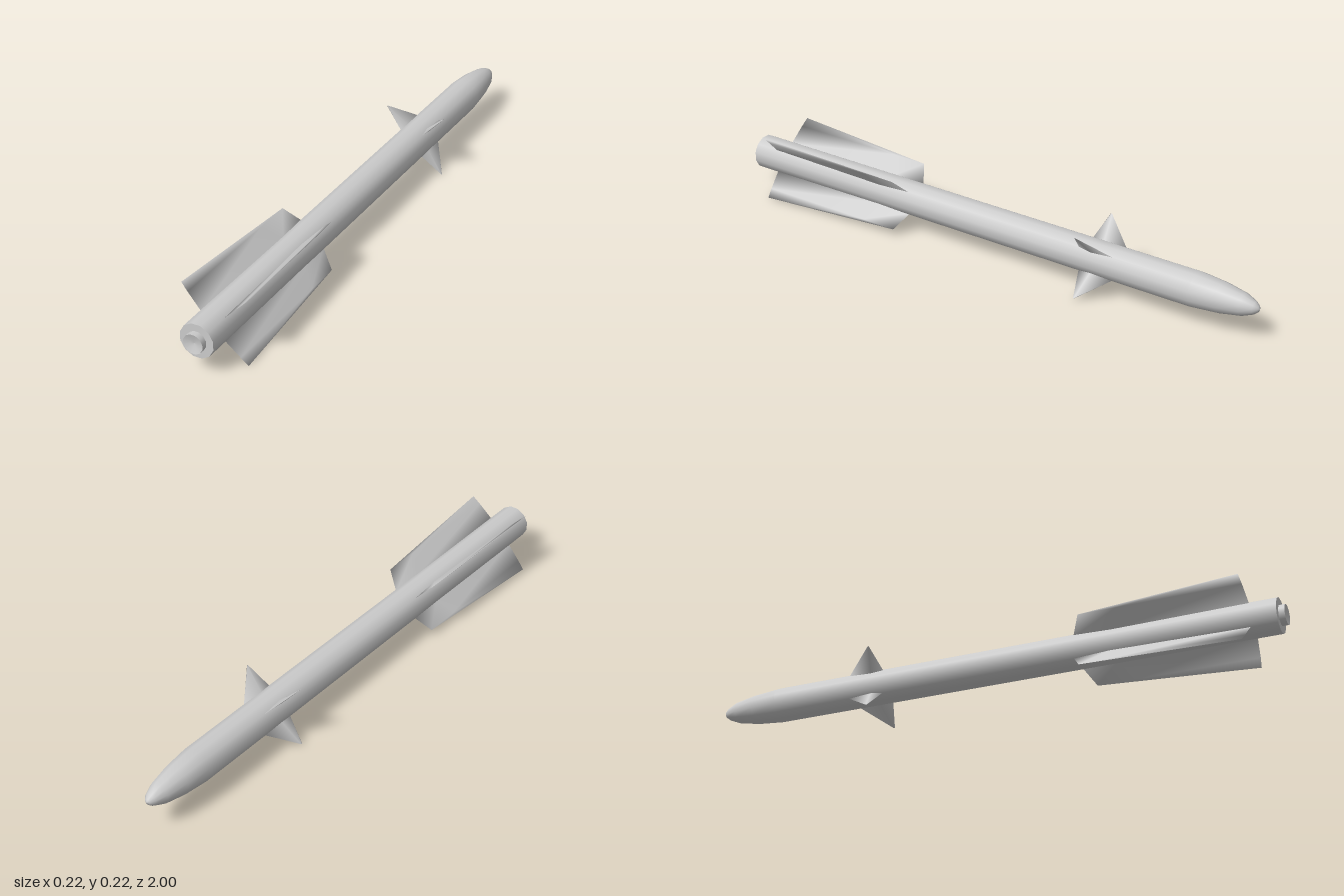
import * as THREE from 'three';
import { mergeVertices } from 'three/addons/utils/BufferGeometryUtils.js';

const material = new THREE.MeshStandardMaterial({ color: 0xcccccc });
const AXIS_Y = 0.114;

// Lathe along the body axis; profile is [radius, z] from tail (+z) to nose (-z)
function lathe(name, profile, sides = 12) {
  const points = profile.map(([r, z]) => new THREE.Vector2(r, -z));
  const geometry = new THREE.LatheGeometry(points, sides, Math.PI / sides);
  geometry.rotateX(-Math.PI / 2);
  const mesh = new THREE.Mesh(geometry, material);
  mesh.name = name;
  return mesh;
}

// Smooth fin blade: sections are [radius, zFront, zThick, zBack, halfThickness], root to tip
function finGeometry(sections) {
  const rings = sections.map(([r, front, mid, back, t]) => [
    [r, 0, front], [r, t, mid], [r, 0, back], [r, -t, mid],
  ]);
  const pos = [];
  for (let i = 0; i < rings.length - 1; i++) {
    for (let k = 0; k < 4; k++) {
      const n = (k + 1) % 4;
      const [a, b, c, d] = [rings[i][k], rings[i][n], rings[i + 1][n], rings[i + 1][k]];
      pos.push(...a, ...b, ...c, ...a, ...c, ...d);
    }
  }
  // Close the tip
  const [a, b, c, d] = rings[rings.length - 1];
  pos.push(...a, ...b, ...c, ...a, ...c, ...d);
  const soup = new THREE.BufferGeometry();
  soup.setAttribute('position', new THREE.Float32BufferAttribute(pos, 3));
  const geometry = mergeVertices(soup);
  geometry.computeVertexNormals();
  return geometry;
}

// Four copies of a blade on the diagonals
function finSet(name, geometry) {
  const set = new THREE.Group();
  set.name = name + 's';
  for (let i = 0; i < 4; i++) {
    const fin = new THREE.Mesh(geometry, material);
    fin.name = name;
    fin.rotation.z = Math.PI / 4 + i * Math.PI / 2;
    set.add(fin);
  }
  return set;
}

export function createModel() {
  const model = new THREE.Group();
  const axis = new THREE.Group();
  axis.name = 'missile';
  axis.position.y = AXIS_Y;
  model.add(axis);

  // Tube with rounded nose, and flat tail
  axis.add(lathe('body', [
    [0.059, 0.98], [0.059, -0.78], [0.051, -0.87], [0.037, -0.945],
    [0.021, -0.983], [0.010, -0.996], [0, -1],
  ]));
  axis.add(lathe('tailPlate', [[0, 0.98], [0.059, 0.98]]));

  // Exhaust nozzle with a very shallow hollow
  axis.add(lathe('nozzle', [[0.034, 1], [0.034, 0.975]]));
  axis.add(lathe('nozzleHollow', [[0, 0.992], [0.015, 0.994], [0.034, 1]]));

  // Long tail fins and small steering fins
  axis.add(finSet('tailFin', finGeometry([
    [0.053, 0.305, 0.43, 0.892, 0.006],
    [0.125, 0.34, 0.47, 0.885, 0.002],
    [0.159, 0.88, 0.88, 0.88, 0],
  ])));
  axis.add(finSet('steeringFin', finGeometry([
    [0.053, -0.505, -0.42, -0.373, 0.006],
    [0.151, -0.402, -0.4, -0.398, 0.0005],
  ])));

  return model;
}
